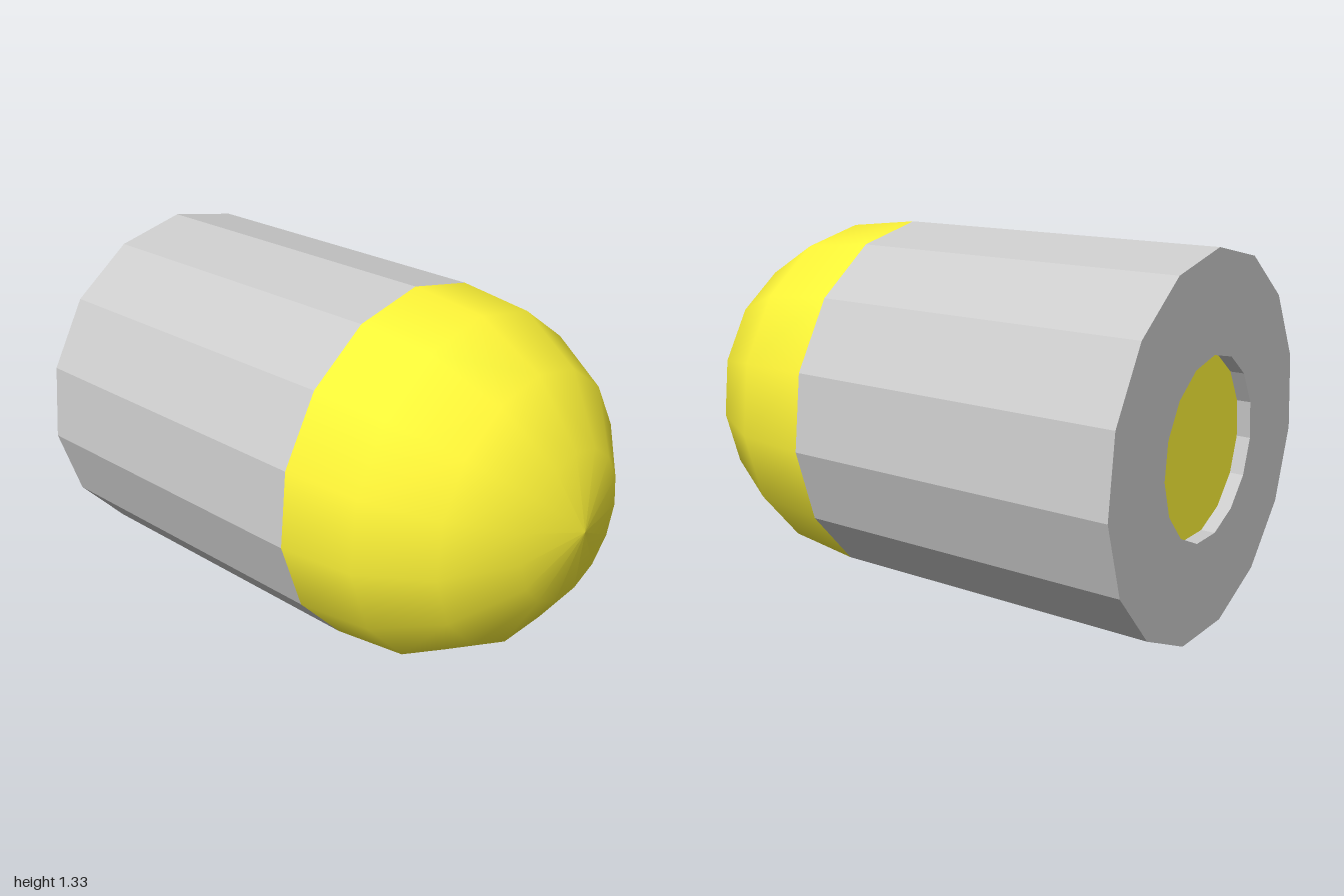
import * as THREE from 'three';

const SIDES = 15;
const RADIUS = 0.672;
const CENTRE_Y = 0.661;
const HOLE = 0.32;
const JOINT_Z = 0.25;
const BACK_Z = -1;
const RECESS_Z = -0.95;

// Turns an (r, z) profile about the z axis, with one corner pointing straight up
function turned(name, profile, material) {
  const points = profile.map(([r, z]) => new THREE.Vector2(r, z));
  const geometry = new THREE.LatheGeometry(points, SIDES, Math.PI).rotateX(Math.PI / 2);
  const mesh = new THREE.Mesh(geometry, material);
  mesh.name = name;
  mesh.position.y = CENTRE_Y;
  return mesh;
}

export function createModel() {
  const group = new THREE.Group();
  group.name = 'domedCylinder';

  const grey = new THREE.MeshStandardMaterial({ color: 0xcccccc, flatShading: true });
  const yellow = new THREE.MeshStandardMaterial({ color: 0xfff538 });
  const yellowFlat = new THREE.MeshStandardMaterial({ color: 0xfff538, flatShading: true });

  // Faceted casing: hole wall, back ring and outer wall
  group.add(turned('casing', [
    [HOLE, RECESS_Z], [HOLE, BACK_Z], [RADIUS, BACK_Z], [RADIUS, JOINT_Z],
  ], grey));

  // Smooth rounded nose, its rings 24 degrees apart
  const dome = [[RADIUS, JOINT_Z]];
  for (let i = 3; i >= 0; i--) {
    const a = (i * 2 * Math.PI) / SIDES;
    dome.push([RADIUS * Math.sin(a), 1 - RADIUS + RADIUS * Math.cos(a)]);
  }
  group.add(turned('domeNose', dome, yellow));

  // Core seen through the hole in the back
  group.add(turned('core', [[0, RECESS_Z], [HOLE, RECESS_Z], [HOLE, JOINT_Z]], yellowFlat));

  return group;
}
